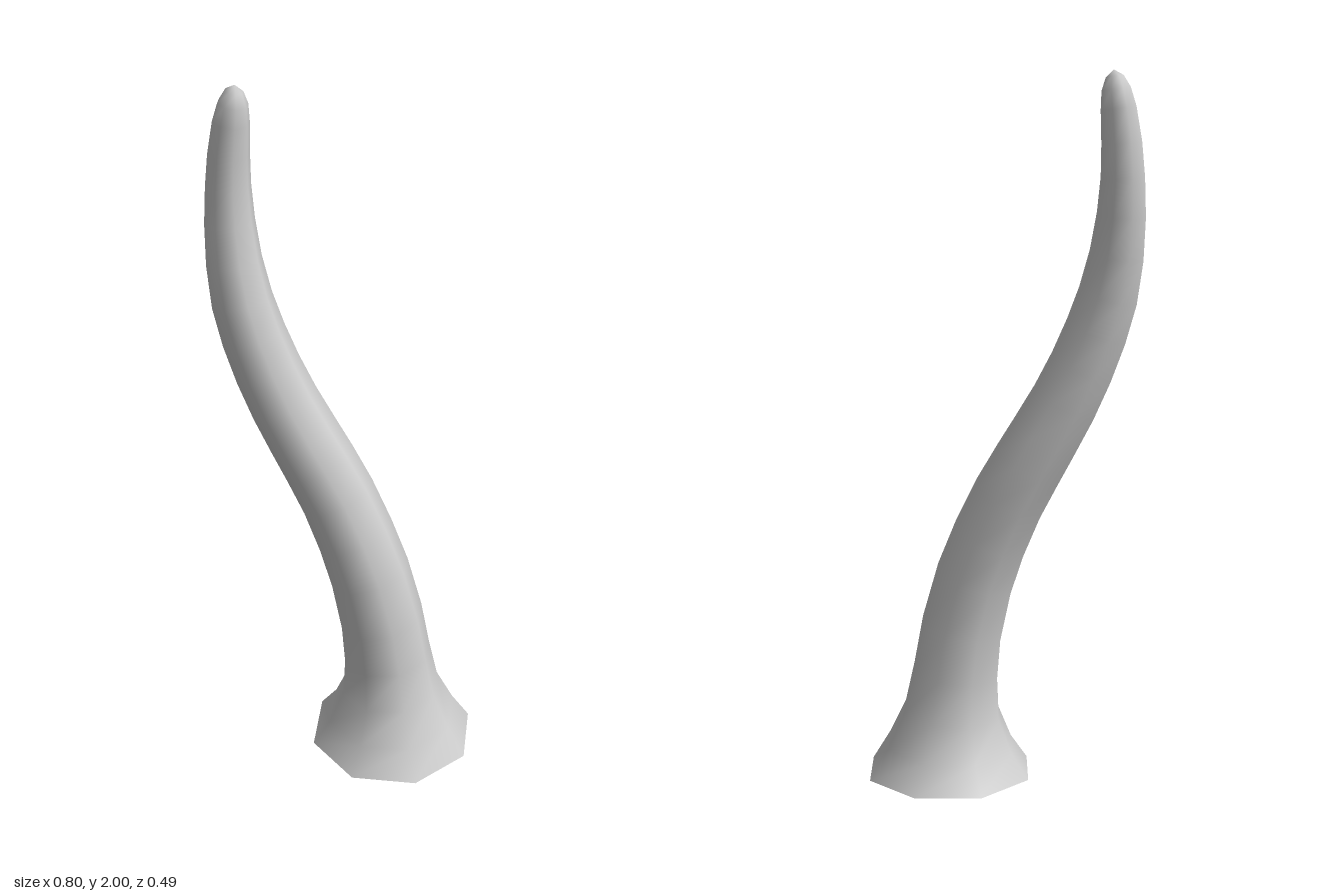
import * as THREE from 'three';

const SIDES = 8;

// Rings along the horn: centre x, y, z and radius
const RINGS = [
  [0.155, 0, 0, 0.246],
  [0.153, 0.08, 0, 0.193],
  [0.147, 0.18, 0, 0.147],
  [0.135, 0.3, 0, 0.13],
  [0.118, 0.43, 0.005, 0.123],
  [0.08, 0.58, 0.01, 0.117],
  [0.035, 0.7, 0.014, 0.112],
  [-0.02, 0.82, 0.019, 0.108],
  [-0.075, 0.92, 0.027, 0.105],
  [-0.12, 1.0, 0.036, 0.102],
  [-0.175, 1.1, 0.046, 0.098],
  [-0.222, 1.2, 0.054, 0.094],
  [-0.262, 1.3, 0.059, 0.09],
  [-0.295, 1.4, 0.06, 0.085],
  [-0.32, 1.51, 0.054, 0.077],
  [-0.335, 1.62, 0.045, 0.069],
  [-0.34, 1.72, 0.038, 0.062],
  [-0.337, 1.81, 0.034, 0.057],
  [-0.328, 1.9, 0.031, 0.05],
  [-0.321, 1.95, 0.03, 0.041],
  [-0.317, 1.983, 0.029, 0.025],
];
const TIP = [-0.315, 2, 0.028];

function hornGeometry() {
  const centres = RINGS.map(([x, y, z]) => new THREE.Vector3(x, y, z));
  const positions = [];
  const index = [];
  const last = RINGS.length - 1;

  RINGS.forEach(([, , , radius], i) => {
    // Each ring stands square to the path; the bottom one lies flat
    const along = new THREE.Vector3(0, 1, 0);
    if (i > 0) along.subVectors(centres[Math.min(i + 1, last)], centres[i - 1]).normalize();
    const u = new THREE.Vector3(1, 0, 0);
    u.addScaledVector(along, -u.dot(along)).normalize();
    const v = new THREE.Vector3().crossVectors(u, along);

    for (let j = 0; j < SIDES; j++) {
      const a = (j / SIDES) * Math.PI * 2;
      const p = centres[i].clone()
        .addScaledVector(u, radius * Math.cos(a))
        .addScaledVector(v, radius * Math.sin(a));
      positions.push(p.x, p.y, p.z);

      const k = (j + 1) % SIDES;
      const here = i * SIDES;
      const next = here + SIDES;
      if (i < last) index.push(here + j, next + j, here + k, here + k, next + j, next + k);
      else index.push(here + j, next, here + k); // closes at the tip
    }
  });
  positions.push(...TIP);

  const geometry = new THREE.BufferGeometry();
  geometry.setAttribute('position', new THREE.Float32BufferAttribute(positions, 3));
  geometry.setIndex(index);
  geometry.computeVertexNormals();
  return geometry;
}

export function createModel() {
  const group = new THREE.Group();
  group.name = 'curvedHorn';

  // The base is open, so the inside shows too
  const lightGrey = new THREE.MeshStandardMaterial({ color: 0xcccccc, side: THREE.DoubleSide });
  lightGrey.name = 'lightGrey';

  const horn = new THREE.Mesh(hornGeometry(), lightGrey);
  horn.name = 'horn';
  group.add(horn);
  return group;
}
